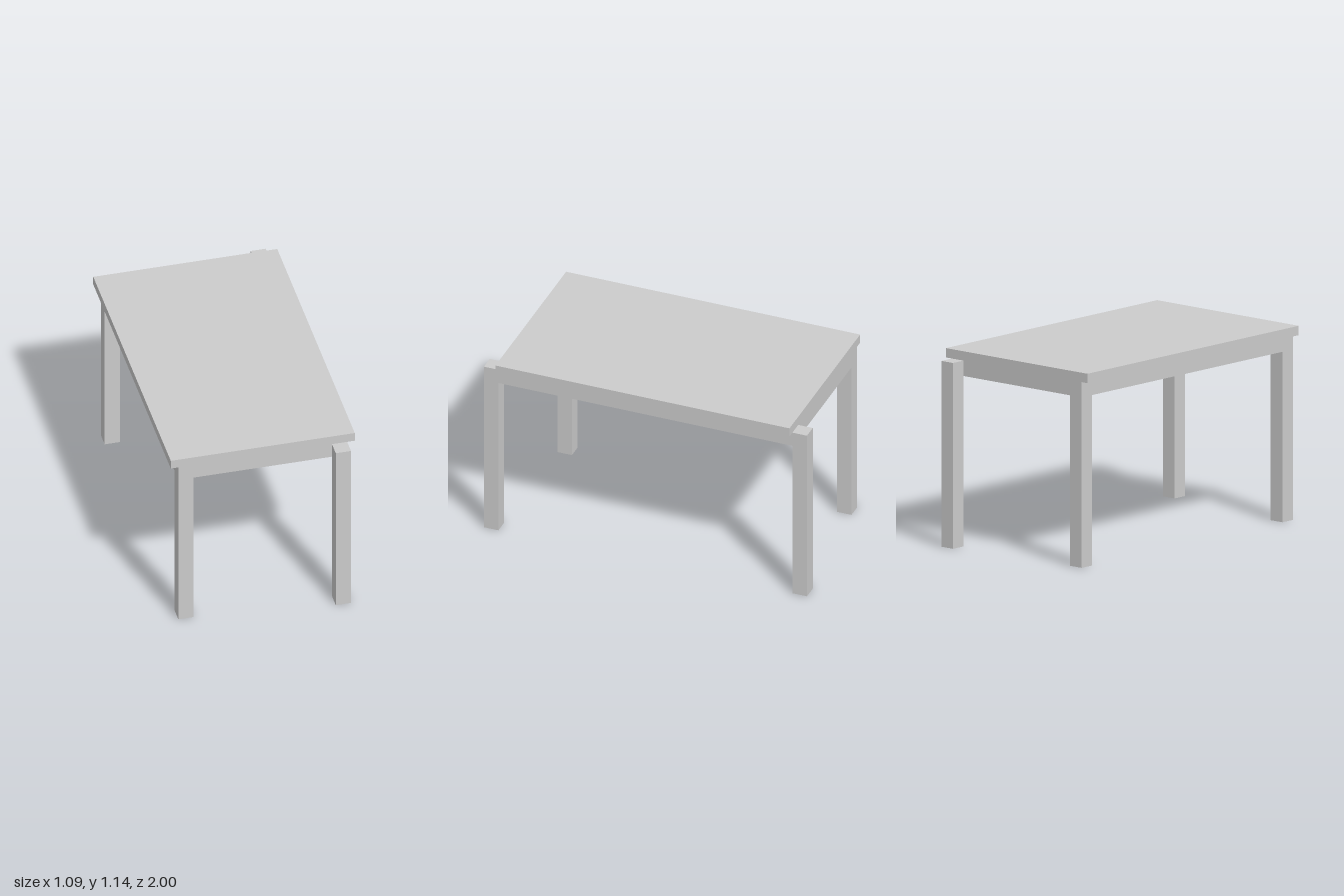
import * as THREE from 'three';

export function createModel() {
  const group = new THREE.Group();
  const material = new THREE.MeshStandardMaterial({ color: 0xcccccc, flatShading: true });

  // Box given by its extent along each axis
  const box = (name, [x0, x1], [y0, y1], [z0, z1]) => {
    const mesh = new THREE.Mesh(new THREE.BoxGeometry(x1 - x0, y1 - y0, z1 - z0), material);
    mesh.position.set((x0 + x1) / 2, (y0 + y1) / 2, (z0 + z1) / 2);
    mesh.name = name;
    group.add(mesh);
  };

  const T = 0.09;               // thickness of legs and aprons
  const underside = 1.09, apronBottom = 1.0;
  const outer = 0.5, inner = outer - T;
  const end = 0.91;             // half length of the top

  box('tableTop', [-0.545, 0.545], [underside, 1.145], [-end, end]);

  // Long aprons; the left one runs through to the ends, where its legs stand outside
  box('leftApron', [inner, outer], [apronBottom, underside], [-end, end]);
  box('rightApron', [-outer, -inner], [apronBottom, underside], [-end + T, end - T]);

  for (const [side, s] of [['front', 1], ['back', -1]]) {
    const span = (a, b) => (s > 0 ? [a, b] : [-b, -a]);
    box(side + 'Apron', [-inner, inner], [apronBottom, underside], span(end - T, end));
    // Left legs stand beyond the top, right legs beneath it
    box(side + 'LeftLeg', [inner, outer], [0, underside], span(end, end + T));
    box(side + 'RightLeg', [-outer, -inner], [0, underside], span(end - T, end));
  }

  return group;
}
